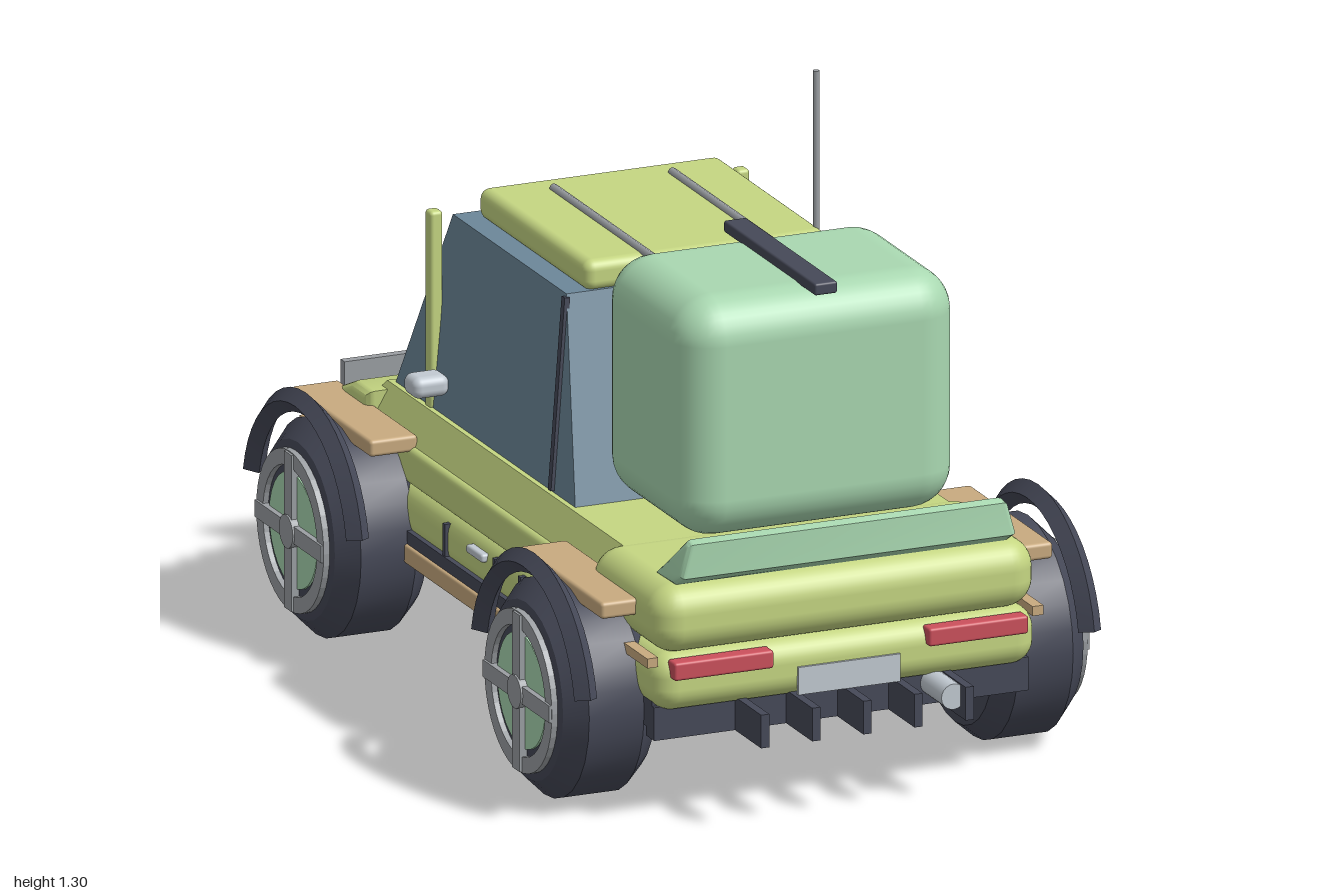
import * as THREE from 'three';
import { RoundedBoxGeometry } from 'three/addons/geometries/RoundedBoxGeometry.js';
import { toCreasedNormals } from 'three/addons/utils/BufferGeometryUtils.js';

const mat = (name, color) => {
  const m = new THREE.MeshStandardMaterial({ color });
  m.name = name;
  return m;
};

export function createModel() {
  const root = new THREE.Group();
  root.name = 'utilityBuggy';
  const lime = mat('lime paint', 0xc5d682);
  const mint = mat('mint paint', 0xa9d8b1);
  const glass = mat('blue glass', 0x6c8799);
  const dark = mat('dark rubber', 0x464958);
  const tan = mat('tan trim', 0xc9ab80);
  const red = mat('red lamp', 0xcc505c);
  const steel = mat('steel', 0x9b9fa3);
  const pale = mat('pale metal', 0xc2cad2);

  const add = (name, geo, material, x = 0, y = 0, z = 0, parent = root) => {
    const m = new THREE.Mesh(geo, material);
    m.name = name;
    m.position.set(x, y, z);
    parent.add(m);
    return m;
  };
  // boxes given by their limits: [x0, x1], [y0, y1], [z0, z1], corner radius
  const box = (name, material, [x0, x1], [y0, y1], [z0, z1], r = 0) => {
    const s = [x1 - x0, y1 - y0, z1 - z0];
    const geo = r ? new RoundedBoxGeometry(...s, 4, r) : new THREE.BoxGeometry(...s);
    return add(name, geo, material, (x0 + x1) / 2, (y0 + y1) / 2, (z0 + z1) / 2);
  };
  const pair = (name, material, [x0, x1], y, z, r) => {
    box(name + 'Left', material, [x0, x1], y, z, r);
    box(name + 'Right', material, [-x1, -x0], y, z, r);
  };
  // side profile of [z, y] points, extruded across the width
  const profile = (points, half, bevel = 0) => {
    const shape = new THREE.Shape(points.map(([z, y]) => new THREE.Vector2(z, y)));
    const depth = 2 * (half - bevel);
    const geo = new THREE.ExtrudeGeometry(shape, {
      depth, bevelEnabled: bevel > 0, bevelThickness: bevel,
      bevelSize: bevel, bevelOffset: -bevel, bevelSegments: 3,
    });
    geo.translate(0, 0, -depth / 2).rotateY(-Math.PI / 2);
    return geo;
  };
  // narrow a geometry towards its top
  const taper = (geo, y0, y1, scale) => {
    const p = geo.attributes.position;
    for (let i = 0; i < p.count; i++) {
      const t = THREE.MathUtils.clamp((p.getY(i) - y0) / (y1 - y0), 0, 1);
      p.setX(i, p.getX(i) * (1 + (scale - 1) * t));
    }
    geo.computeVertexNormals();
    return geo;
  };

  // chassis and lower body
  box('chassis', dark, [-0.41, 0.41], [0.2, 0.27], [-0.85, 0.86]);
  box('lowerBody', lime, [-0.42, 0.42], [0.24, 0.365], [-0.87, 0.905], 0.05);
  box('rearDeck', lime, [-0.42, 0.42], [0.36, 0.505], [0.55, 0.91], 0.06);
  box('bodySide', lime, [-0.41, 0.41], [0.355, 0.435], [-0.62, 0.6], 0.015);
  add('upperBody', taper(profile([[-0.64, 0.42], [0.6, 0.42], [0.6, 0.503], [-0.58, 0.503]], 0.405),
    0.42, 0.503, 0.88), lime);
  add('hood', toCreasedNormals(profile([[-0.56, 0.36], [-0.56, 0.49], [-0.64, 0.49], [-0.72, 0.455],
    [-0.81, 0.395], [-0.84, 0.36]], 0.41, 0.018), 0.7), lime);
  box('hoodScoop', mint, [-0.065, 0.065], [0.49, 0.515], [-0.65, -0.56]);

  // side trim between the wheels
  pair('skirt', tan, [0.4, 0.435], [0.205, 0.245], [-0.36, 0.37], 0.006);
  pair('skirtStrip', dark, [0.4, 0.428], [0.245, 0.272], [-0.36, 0.37]);
  for (const z of [0.235, 0.107, -0.14]) pair('sideDivider', dark, [0.41, 0.426], [0.265, 0.34], [z - 0.006, z + 0.006]);
  pair('doorHandle', pale, [0.41, 0.432], [0.316, 0.334], [-0.02, 0.06], 0.006);
  for (const z of [-0.78, 0.83]) pair('sideMarker', tan, [0.41, 0.434], [0.342, 0.362], [z - 0.06, z + 0.06]);

  // cabin
  add('cabinGlass', taper(profile([[-0.565, 0.5], [0.33, 0.5], [0.2, 0.91], [-0.365, 0.91]], 0.345),
    0.5, 0.91, 0.89), glass);
  for (const s of [-1, 1]) {
    const strip = add('rearPillar', new THREE.BoxGeometry(0.012, 0.4, 0.016), dark, s * 0.327, 0.705, 0.208);
    strip.rotation.set(-0.04, 0, s * 0.093);
  }
  pair('frontPillar', lime, [0.322, 0.35], [0.49, 0.915], [-0.41, -0.378], 0.008);
  box('roof', lime, [-0.265, 0.265], [0.905, 0.97], [-0.34, 0.2], 0.022);
  for (const x of [-0.13, 0.13]) {
    add('roofRail', new THREE.CylinderGeometry(0.009, 0.009, 0.57, 8).rotateX(Math.PI / 2), steel, x, 0.972, 0.018);
  }
  add('antenna', new THREE.CylinderGeometry(0.007, 0.007, 0.36, 8), steel, 0.255, 1.117, 0.165);
  pair('mirror', pale, [0.335, 0.415], [0.545, 0.59], [-0.375, -0.31], 0.018);

  // cargo pod and spoiler
  box('cargoPod', mint, [-0.305, 0.305], [0.545, 1.05], [0.35, 0.79], 0.09);
  box('podStrap', dark, [-0.025, 0.025], [1.045, 1.07], [0.34, 0.795], 0.005);
  add('spoiler', toCreasedNormals(taper(profile([[0.78, 0.503], [0.87, 0.503], [0.908, 0.525], [0.908, 0.595],
    [0.885, 0.6]], 0.37, 0.012), 0.52, 0.6, 0.94), 0.8), mint);

  // rear fittings
  pair('tailLight', red, [0.17, 0.388], [0.317, 0.355], [0.885, 0.922], 0.006);
  box('rearPlate', pale, [-0.112, 0.112], [0.25, 0.308], [0.903, 0.911]);
  box('rearValance', dark, [-0.41, 0.41], [0.18, 0.25], [0.83, 0.87]);
  for (let i = -2; i <= 2; i++) {
    const x = i * 0.112;
    box('diffuserFin', dark, [x - 0.009, x + 0.009], [0.18, 0.25], [0.86, 1]);
  }
  add('exhaust', new THREE.CylinderGeometry(0.027, 0.027, 0.12, 20).rotateX(Math.PI / 2), pale, 0.2, 0.225, 0.915);

  // nose fittings
  pair('headlight', tan, [0.18, 0.385], [0.315, 0.352], [-0.879, -0.85], 0.006);
  box('grille', dark, [-0.135, 0.135], [0.275, 0.345], [-0.888, -0.86]);
  box('bumperPlate', dark, [-0.39, 0.39], [0.18, 0.2], [-1, -0.84]);
  add('bumperWedge', profile([[-0.955, 0.2], [-0.87, 0.2], [-0.885, 0.22], [-0.935, 0.242], [-0.95, 0.235]], 0.405), steel);
  box('guardPlate', steel, [-0.29, 0.29], [0.265, 0.425], [-0.962, -0.942]);

  // wheels, built facing +x and turned round for the other side
  const tyreGeo = new THREE.LatheGeometry([[0.02, -0.1], [0.19, -0.1], [0.225, -0.06], [0.225, 0.06],
    [0.185, 0.1], [0.165, 0.105], [0.02, 0.105]].map(([r, a]) => new THREE.Vector2(r, a)), 28);
  const tyre = toCreasedNormals(tyreGeo.rotateZ(-Math.PI / 2), 0.4);
  const disc = new THREE.CylinderGeometry(0.12, 0.12, 0.012, 28).rotateZ(-Math.PI / 2);
  const ringShape = new THREE.Shape().absarc(0, 0, 0.168, 0, Math.PI * 2);
  ringShape.holes.push(new THREE.Path().absarc(0, 0, 0.135, 0, Math.PI * 2, true));
  const ring = new THREE.ExtrudeGeometry(ringShape, { depth: 0.015, bevelEnabled: false, curveSegments: 20 })
    .rotateY(Math.PI / 2);
  const hub = new THREE.CylinderGeometry(0.035, 0.035, 0.024, 16).rotateZ(-Math.PI / 2);
  const arc = Math.PI * 0.87;
  const archGeo = new THREE.TorusGeometry(0.262, 0.025, 4, 20, arc).rotateZ((Math.PI - arc) / 2).rotateY(Math.PI / 2);
  const arch = toCreasedNormals(archGeo, 0.5);
  const archMat = dark;
  for (const s of [-1, 1]) {
    for (const z of [-0.54, 0.595]) {
      const wheel = new THREE.Group();
      wheel.name = (z < 0 ? 'noseWheel' : 'rearWheel') + (s > 0 ? 'Left' : 'Right');
      wheel.position.set(s * 0.47, 0.227, z);
      if (s < 0) wheel.rotation.y = Math.PI;
      root.add(wheel);
      add('tyre', tyre, dark, 0, 0, 0, wheel);
      add('wheelDisc', disc, mint, 0.104, 0, 0, wheel);
      add('rimRing', ring, steel, 0.102, 0, 0, wheel);
      add('hub', hub, steel, 0.114, 0, 0, wheel);
      add('spokeUpright', new THREE.BoxGeometry(0.02, 0.33, 0.036), steel, 0.112, 0, 0, wheel);
      add('spokeLevel', new THREE.BoxGeometry(0.02, 0.036, 0.33), steel, 0.112, 0, 0, wheel);
      add('wheelArch', arch, archMat, 0.082, 0, 0, wheel);
    }
    // flat mudguards above the wheels, and end caps closing the arches
    for (const [z0, z1] of [[-0.745, -0.35], [0.39, 0.8]]) {
      const x = s > 0 ? [0.39, 0.495] : [-0.495, -0.39];
      box('mudguard', tan, x, [0.425, 0.46], [z0, z1], 0.008);
    }
  }
  return root;
}
